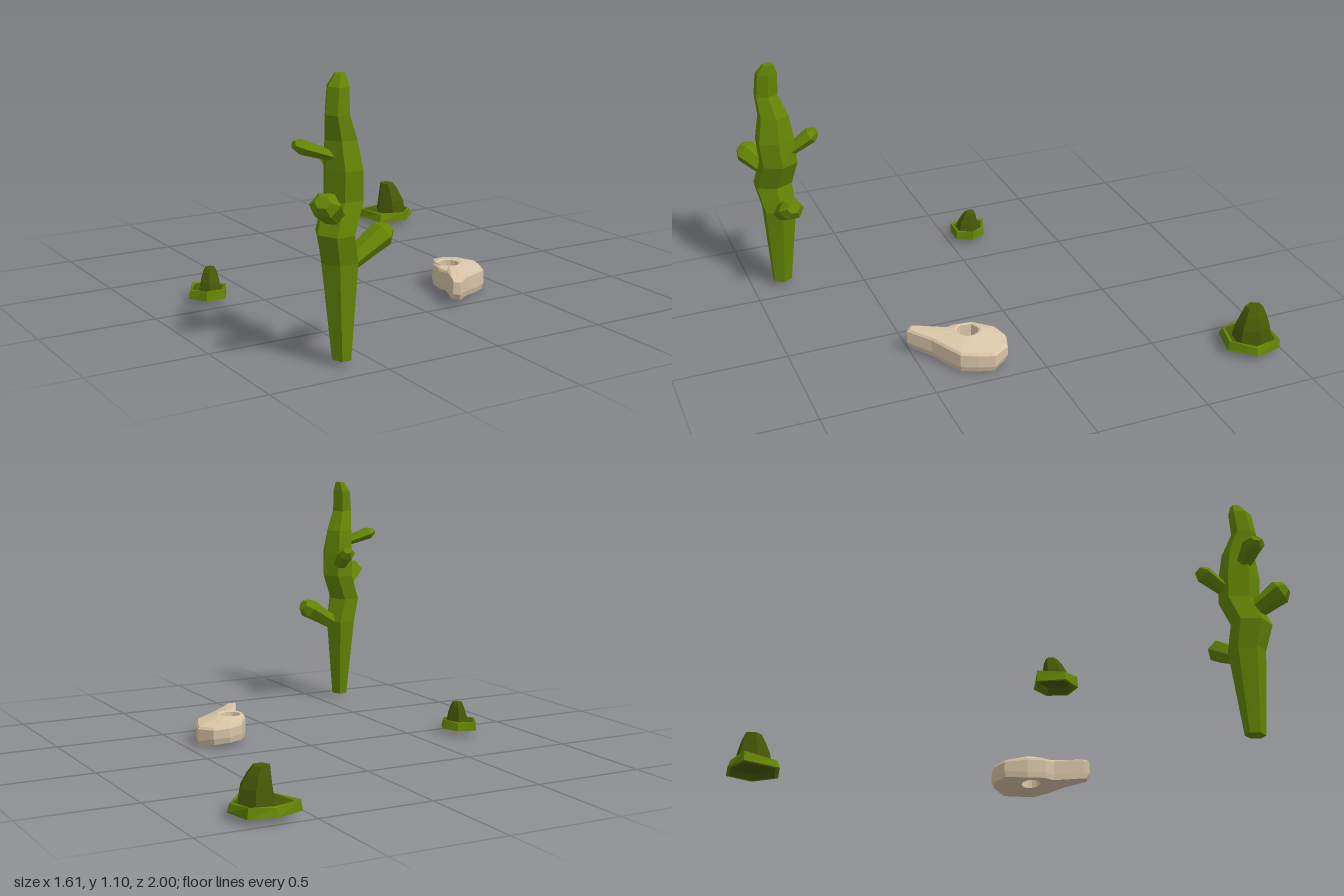
import * as THREE from 'three';

function paint(name, color) {
  const m = new THREE.MeshStandardMaterial({ color });
  m.name = name;
  return m;
}
const green = paint('cactusGreen', 0x658504);
const darkGreen = paint('sproutDarkGreen', 0x475a06);
const bone = paint('boneBeige', 0xd9c5a8);

// Joins rings of equal length into a faceted skin; the end flags close it with fans.
function loft(name, material, rings, capStart = true, capEnd = true) {
  const n = rings[0].length;
  const centre = (r) => {
    const c = [0, 1, 2].map((k) => r.reduce((s, p) => s + p[k], 0) / n);
    return Array(n).fill(c);
  };
  const all = [...rings];
  if (capStart) all.unshift(centre(rings[0]));
  if (capEnd) all.push(centre(rings[rings.length - 1]));
  const pos = [];
  for (let j = 0; j < all.length - 1; j++) {
    for (let i = 0; i < n; i++) {
      const k = (i + 1) % n;
      const a = all[j][i], b = all[j][k], c = all[j + 1][k], d = all[j + 1][i];
      if (a !== b) pos.push(...a, ...d, ...b);
      if (c !== d) pos.push(...b, ...d, ...c);
    }
  }
  const geo = new THREE.BufferGeometry();
  geo.setAttribute('position', new THREE.Float32BufferAttribute(pos, 3));
  geo.computeVertexNormals();
  const mesh = new THREE.Mesh(geo, material);
  mesh.name = name;
  return mesh;
}

// Horizontal six-sided ring
function hexRing(x, y, z, rx, rz) {
  return Array.from({ length: 6 }, (_, i) => {
    const a = (i * Math.PI) / 3;
    return [x + rx * Math.cos(a), y, z + (rz / 0.866) * Math.sin(a)];
  });
}

// Arm swelling from its root to a blunt tip
function arm(name, from, to, width, thick) {
  const start = new THREE.Vector3(...from);
  const dir = new THREE.Vector3(...to).sub(start);
  const len = dir.length();
  const profile = [[0, 0.7], [0.45, 0.85], [0.82, 1], [1, 0.5]];
  const mesh = loft(name, green, profile.map(([t, s]) => hexRing(0, t * len, 0, width * s, thick * s)));
  // Local x stays level so that width lies sideways
  const up = dir.normalize();
  const side = new THREE.Vector3(0, 1, 0).cross(up).normalize();
  mesh.quaternion.setFromRotationMatrix(
    new THREE.Matrix4().makeBasis(side, up, new THREE.Vector3().crossVectors(side, up)));
  mesh.position.copy(start);
  return mesh;
}

function createCactus() {
  const g = new THREE.Group();
  g.name = 'tallCactus';
  // Trunk sections: y, xMin, xMax, zMin, zMax
  const sections = [
    [0.025, -0.66, -0.585, 0.82, 0.90],
    [0.40, -0.70, -0.545, 0.78, 0.92],
    [0.515, -0.725, -0.575, 0.785, 0.945],
    [0.635, -0.68, -0.522, 0.765, 0.92],
    [0.75, -0.68, -0.53, 0.77, 0.93],
    [0.86, -0.68, -0.548, 0.785, 0.91],
    [0.955, -0.69, -0.59, 0.82, 0.915],
    [1.055, -0.675, -0.59, 0.815, 0.905],
    [1.10, -0.64, -0.597, 0.83, 0.875],
  ];
  g.add(loft('trunk', green, sections.map(([y, x0, x1, z0, z1]) =>
    hexRing((x0 + x1) / 2, y, (z0 + z1) / 2, (x1 - x0) / 2, (z1 - z0) / 2))));
  g.add(arm('leftArm', [-0.58, 0.39, 0.85], [-0.40, 0.495, 0.835], 0.059, 0.044));
  g.add(arm('upperRightArm', [-0.64, 0.795, 0.85], [-0.795, 0.85, 0.82], 0.05, 0.026));
  g.add(arm('frontArm', [-0.65, 0.57, 0.87], [-0.765, 0.665, 0.975], 0.06, 0.045));
  g.add(arm('backArm', [-0.59, 0.675, 0.81], [-0.563, 0.775, 0.67], 0.046, 0.03));
  return g;
}

// Squat plant: flared skirt, hollow underside and a narrow dark dome
function createSprout(name, outline, [cx, cz], dome) {
  const g = new THREE.Group();
  g.name = name;
  const ring = (s, y) => outline.map(([x, z]) => [cx + (x - cx) * s, y, cz + (z - cz) * s]);
  const rim = outline.map(([x, z], i) => {
    const s = i % 2 ? 0.91 : 0.96;
    return [cx + (x - cx) * s, i % 2 ? 0.062 : 0.072, cz + (z - cz) * s];
  });
  const lip = ring(0.82, 0.066);
  g.add(loft('skirt', green, [ring(0.86, 0.028), ring(1, 0.028), rim, lip], false, false));
  g.add(loft('underside', darkGreen, [ring(0.7, 0.05), ring(0.86, 0.028)], true, false));
  g.add(loft('bowl', darkGreen, [lip, ring(0.55, 0.058)], false, true));
  g.add(loft('dome', darkGreen, dome.map(([y, x, z, r]) => hexRing(x, y, z, r, r))));
  return g;
}

// Beaked skull with an eye hole running through it
function createSkull() {
  const outline = [
    [0.142, 0.475], [0.20, 0.353], [0.19, 0.306], [0.211, 0.227], [0.269, 0.142],
    [0.338, 0.121], [0.406, 0.142], [0.448, 0.216], [0.427, 0.285], [0.396, 0.353],
    [0.33, 0.392], [0.258, 0.433], [0.163, 0.512], [0.137, 0.495],
  ];
  const cx = 0.265, cz = 0.27;
  const topY = (x) => 0.118 - 0.09 * (x - 0.14);
  const lowY = (x, z) => 0.002 + Math.max(0, 0.34 - x) * 0.14 + Math.max(0, 0.2 - z) * 0.3;
  const ring = (s, yOf) => outline.map(([x, z]) => {
    const px = cx + (x - cx) * s, pz = cz + (z - cz) * s;
    return [px, yOf(px, pz), pz];
  });
  const hole = (r, yOf) => outline.map(([x, z]) => {
    const a = Math.atan2(z - cz, x - cx);
    const px = cx + r * Math.cos(a), pz = cz + r * Math.sin(a);
    return [px, yOf(px, pz), pz];
  });
  const low = hole(0.042, lowY);
  return loft('skull', bone, [
    low,
    ring(0.95, lowY),
    ring(1, (x, z) => lowY(x, z) + 0.025),
    ring(1, (x) => topY(x) - 0.01),
    ring(0.95, (x) => topY(x)),
    hole(0.058, () => 0.122),
    hole(0.047, () => 0.118),
    low,
  ], false, false);
}

export function createModel() {
  const model = new THREE.Group();
  model.name = 'desertScatter';
  model.add(createCactus(), createSkull());
  // Dome sections: y, x, z, radius
  model.add(createSprout('largeSprout', [
    [0.543, -0.96], [0.66, -0.998], [0.776, -0.975], [0.802, -0.85], [0.71, -0.757], [0.575, -0.79],
  ], [0.685, -0.885], [
    [0.05, 0.695, -0.878, 0.078], [0.12, 0.695, -0.88, 0.066],
    [0.17, 0.687, -0.887, 0.049], [0.202, 0.678, -0.892, 0.034],
  ]));
  model.add(createSprout('smallSprout', [
    [-0.745, -0.197], [-0.665, -0.17], [-0.63, -0.1], [-0.67, -0.027], [-0.755, -0.027], [-0.805, -0.105],
  ], [-0.712, -0.105], [
    [0.05, -0.708, -0.098, 0.05], [0.095, -0.706, -0.1, 0.042],
    [0.13, -0.702, -0.106, 0.031], [0.15, -0.7, -0.11, 0.021],
  ]));
  return model;
}
